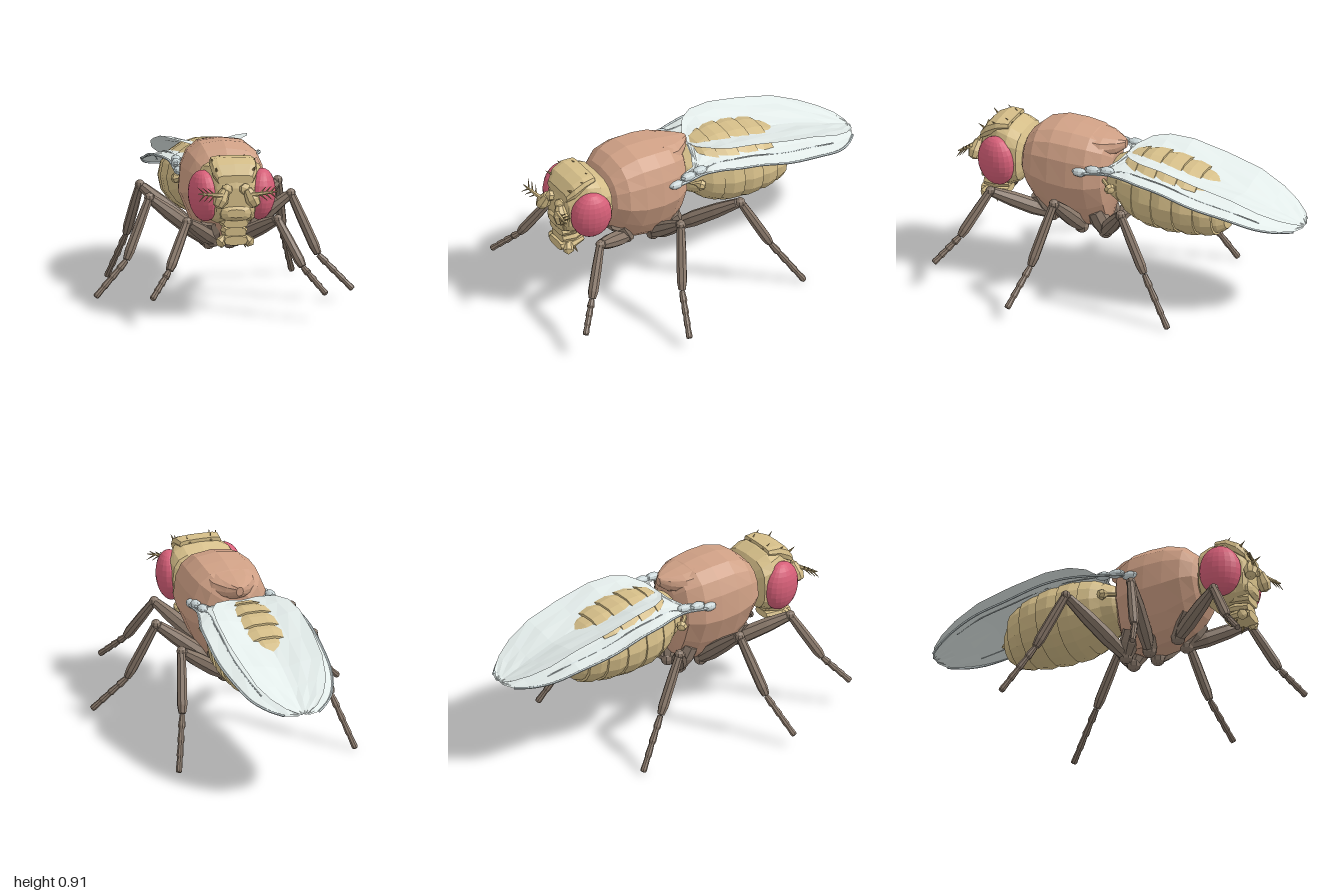
import * as THREE from 'three';

const mat = (color, side = THREE.FrontSide) =>
  new THREE.MeshStandardMaterial({ color, side, flatShading: true });
const M = {
  thorax: mat(0xcfa085), tan: mat(0xd4bd88), tanDark: mat(0xa8905f), eye: mat(0xd65f78),
  leg: mat(0x8a796b), vein: mat(0xccd8da, THREE.DoubleSide), wing: mat(0xe2ebe9, THREE.DoubleSide),
};
const V = (x, y, z) => new THREE.Vector3(x, y, z);

function add(parent, name, geo, material, pos) {
  const m = new THREE.Mesh(geo, material);
  m.name = name;
  if (pos) m.position.copy(pos);
  parent.add(m);
  return m;
}

function surface(pos, idx) {
  const g = new THREE.BufferGeometry();
  g.setAttribute('position', new THREE.Float32BufferAttribute(pos, 3));
  g.setIndex(idx);
  g.computeVertexNormals();
  return g;
}

// Closed body through cross-sections [z, halfWidth, bottom, top], ordered back to front.
// power squares the section off, taper narrows its underside, rough facets it.
function loft(sections, { sides = 16, power = 2, taper = 0, rough = 0 } = {}) {
  const pos = [], idx = [], n = sections.length;
  const pw = (v) => Math.sign(v) * Math.abs(v) ** (2 / power);
  sections.forEach(([z, w, b, t], i) => {
    for (let j = 0; j < sides; j++) {
      const a = (j / sides) * Math.PI * 2, s = pw(Math.sin(a)), c = pw(Math.cos(a));
      const mirrorJ = Math.abs(((j + sides / 4) % sides) - sides / 2); // same on both sides
      const k = 1 + rough * Math.sin(i * 12.9 + mirrorJ * 7.3);
      pos.push(c * w * k * (1 - taper * Math.max(0, -s)), (b + t) / 2 + (s * (t - b) * k) / 2, z);
    }
  });
  for (let i = 0; i < n - 1; i++) for (let j = 0; j < sides; j++) {
    const a = i * sides + j, b = i * sides + ((j + 1) % sides);
    idx.push(a, b, b + sides, a, b + sides, a + sides);
  }
  [0, n - 1].forEach((i) => {
    const [z, , b, t] = sections[i], centre = pos.length / 3;
    pos.push(0, (b + t) / 2, z);
    for (let j = 0; j < sides; j++) {
      const p = i * sides + j, q = i * sides + ((j + 1) % sides);
      if (i) idx.push(centre, p, q); else idx.push(centre, q, p);
    }
  });
  return surface(pos, idx);
}

// Turned limb from a to b; profile is [fraction of length, radius].
function limb(parent, name, a, b, profile, material, sides = 8) {
  const d = b.clone().sub(a), len = d.length();
  const pts = [[0, 0], ...profile, [1, 0]].map(([t, r]) => new THREE.Vector2(r, t * len));
  const m = add(parent, name, new THREE.LatheGeometry(pts, sides), material, a);
  m.quaternion.setFromUnitVectors(V(0, 1, 0), d.normalize());
  return m;
}

function blob(parent, name, pos, size, material, ws = 8, hs = 6) {
  const m = add(parent, name, new THREE.SphereGeometry(1, ws, hs), material, pos);
  m.scale.copy(size);
  return m;
}

const bristle = (parent, a, b, r = 0.006) => limb(parent, 'bristle', a, b, [[0, r], [0.98, 0.001]], M.tanDark, 5);

function makeBody(root) {
  add(root, 'thorax', loft([
    [0.1, 0.09, 0.5, 0.8], [0.14, 0.17, 0.38, 0.86], [0.22, 0.22, 0.34, 0.895], [0.32, 0.235, 0.33, 0.91],
    [0.43, 0.235, 0.35, 0.915], [0.53, 0.22, 0.42, 0.89], [0.59, 0.18, 0.5, 0.84], [0.63, 0.1, 0.58, 0.76],
  ], { power: 2.8, taper: 0.45, rough: 0.02 }), M.thorax);
  add(root, 'scutellum', loft([
    [0.05, 0.02, 0.81, 0.86], [0.09, 0.07, 0.78, 0.87], [0.16, 0.13, 0.76, 0.885], [0.24, 0.15, 0.76, 0.9],
  ], { sides: 12, power: 2.4 }), M.thorax);

  // Overlapping abdomen rings: each plate flares a little over the one behind it
  const rings = [
    [0.15, 0.09, 0.57, 0.72], [0.05, 0.175, 0.5, 0.78], [-0.06, 0.23, 0.42, 0.82], [-0.18, 0.245, 0.395, 0.816],
    [-0.3, 0.24, 0.39, 0.79], [-0.41, 0.21, 0.39, 0.757], [-0.5, 0.16, 0.4, 0.7], [-0.55, 0.085, 0.44, 0.6],
  ];
  const abdomen = new THREE.Group();
  abdomen.name = 'abdomen';
  root.add(abdomen);
  for (let i = 0; i < rings.length - 1; i++) {
    const [z0, w0, b0, t0] = rings[i], [z1, w1, b1, t1] = rings[i + 1];
    add(abdomen, 'abdomenRing', loft([
      [z1 - 0.008, w1 + 0.003, b1 - 0.002, t1 + 0.002],
      [(z0 + z1) / 2, (w0 + w1) / 2 + 0.008, (b0 + b1) / 2 - 0.008, (t0 + t1) / 2 + 0.006],
      [z0, w0 - 0.008, b0 + 0.008, t0 - 0.008],
    ], { sides: 18, power: 2.1, rough: 0.008 }), M.tan);
  }
  limb(abdomen, 'abdomenTip', V(0, 0.535, -0.52), V(0, 0.535, -0.61), [[0, 0.055], [0.55, 0.035]], M.tan, 7);
}

function makeHead(root) {
  const head = new THREE.Group();
  head.name = 'head';
  root.add(head);
  add(head, 'skull', loft([
    [0.59, 0.1, 0.6, 0.77], [0.63, 0.185, 0.55, 0.84], [0.69, 0.195, 0.52, 0.87], [0.76, 0.165, 0.52, 0.88],
    [0.82, 0.125, 0.53, 0.855], [0.86, 0.11, 0.55, 0.8], [0.88, 0.08, 0.57, 0.74],
  ], { power: 3, rough: 0.01 }), M.tan);
  add(head, 'browPlate', loft([[0.7, 0.12, 0.84, 0.89], [0.77, 0.13, 0.82, 0.892], [0.83, 0.125, 0.78, 0.865],
    [0.87, 0.1, 0.76, 0.81]], { sides: 12, power: 4 }), M.tan);
  add(head, 'facePlate', loft([[0.82, 0.1, 0.54, 0.66], [0.88, 0.085, 0.56, 0.64], [0.895, 0.05, 0.58, 0.625]],
    { sides: 12, power: 3 }), M.tan);
  // Mouthparts: stacked plates below the face
  [[0.545, 0.085, 0.085, 0.8], [0.495, 0.075, 0.075, 0.8], [0.45, 0.08, 0.08, 0.81]].forEach(([y, rx, rz, z]) =>
    add(head, 'mouthPlate', loft([[z - rz, rx * 0.7, y - 0.02, y + 0.02], [z, rx, y - 0.032, y + 0.03],
      [z + rz * 0.9, rx * 0.8, y - 0.026, y + 0.024]], { sides: 10, power: 3 }), M.tan));
  [1, -1].forEach((s) => {
    const eye = blob(head, 'eye', V(s * 0.157, 0.68, 0.75), V(0.08, 0.142, 0.115), M.eye, 20, 14);
    eye.rotation.set(0, s * -0.28, s * -0.08);
    limb(head, 'mouthLobe', V(s * 0.05, 0.46, 0.83), V(s * 0.1, 0.42, 0.86), [[0.1, 0.025], [0.7, 0.03]], M.tan, 7);
    bristle(head, V(s * 0.05, 0.43, 0.8), V(s * 0.07, 0.39, 0.78), 0.012);
    // Antenna with a feathery bristle
    limb(head, 'antennaBase', V(s * 0.035, 0.73, 0.85), V(s * 0.06, 0.74, 0.91), [[0, 0.025], [0.7, 0.032]], M.tan, 7);
    limb(head, 'antennaLobe', V(s * 0.055, 0.745, 0.89), V(s * 0.11, 0.64, 0.91), [[0.1, 0.025], [0.6, 0.042], [0.92, 0.03]], M.tan);
    const base = V(s * 0.08, 0.71, 0.92), tip = V(s * 0.22, 0.73, 0.95);
    limb(head, 'arista', base, tip, [[0, 0.014], [0.5, 0.009], [0.99, 0.003]], M.tan, 6);
    [0.3, 0.5, 0.7].forEach((t) => [-1, 1].forEach((u) => {
      const p = base.clone().lerp(tip, t);
      bristle(head, p, p.clone().add(V(s * 0.04, u * 0.035, -u * 0.022)));
    }));
    // Crown bristles
    [[0.1, 0.84, 0.84], [0.11, 0.87, 0.76], [0.06, 0.88, 0.7]].forEach(([x, y, z]) =>
      bristle(head, V(s * x, y - 0.01, z), V(s * (x + 0.01), y + 0.02, z + 0.035), 0.009));
  });
}

// Joint positions from hip to foot for the left legs
const LEGS = {
  frontLeg: [[0.09, 0.5, 0.53], [0.06, 0.375, 0.46], [0.25, 0.535, 0.75], [0.37, 0.29, 0.88], [0.48, 0.16, 0.99]],
  middleLeg: [[0.09, 0.46, 0.32], [0.058, 0.33, 0.29], [0.39, 0.59, 0.32], [0.53, 0.26, 0.4], [0.71, 0.075, 0.465]],
  hindLeg: [[0.09, 0.45, 0.2], [0.055, 0.32, 0.15], [0.38, 0.585, -0.07], [0.43, 0.28, -0.23], [0.51, 0.015, -0.4]],
};
function makeLeg(root, name, joints, s) {
  const leg = new THREE.Group();
  leg.name = name;
  root.add(leg);
  const [hip, low, knee, ankle, foot] = joints.map(([x, y, z]) => V(s * x, y, z));
  limb(leg, 'coxa', hip, low, [[0, 0.05], [0.5, 0.055], [0.95, 0.04]], M.leg);
  blob(leg, 'trochanter', low, V(0.042, 0.042, 0.042), M.leg);
  limb(leg, 'femur', low, knee, [[0, 0.032], [0.3, 0.045], [0.65, 0.041], [0.96, 0.028]], M.leg);
  blob(leg, 'knee', knee, V(0.028, 0.028, 0.028), M.leg);
  limb(leg, 'tibia', knee, ankle, [[0, 0.023], [0.4, 0.028], [0.85, 0.029], [0.98, 0.021]], M.leg);
  const steps = [];
  for (let i = 0; i < 4; i++) steps.push([i / 4, 0.015], [i / 4 + 0.2, 0.021 - i * 0.001]);
  limb(leg, 'tarsus', ankle, foot, [...steps, [0.99, 0.015]], M.leg);
}

// Wing rows: [z, inner x, outer x, height at the midline]. The inner half crosses over
// the midline, so the two wings overlap and each slopes down towards its outer edge.
const WING = [
  [0.27, 0.18, 0.22, 0.753], [0.2, 0.18, 0.235, 0.768], [0.1, 0.16, 0.237, 0.784], [0.06, 0.08, 0.24, 0.788],
  [0.02, -0.08, 0.25, 0.791], [-0.04, -0.17, 0.265, 0.793], [-0.12, -0.22, 0.288, 0.79], [-0.25, -0.24, 0.3, 0.772],
  [-0.45, -0.245, 0.302, 0.715], [-0.65, -0.23, 0.28, 0.665], [-0.8, -0.2, 0.235, 0.607], [-0.9, -0.15, 0.17, 0.567],
  [-0.97, -0.09, 0.1, 0.54], [-1, -0.03, 0.03, 0.53],
];
function makeWing(root, s) {
  const wing = new THREE.Group();
  wing.name = s > 0 ? 'leftWing' : 'rightWing';
  root.add(wing);
  const at = ([z, a, b, y], t, lift = 0) => {
    const x = a + (b - a) * t;
    return V(s * x, y - 0.19 * x + lift, z);
  };
  const cols = 8, pos = [], idx = [];
  WING.forEach((row, i) => {
    for (let j = 0; j <= cols; j++) pos.push(...at(row, j / cols, 0.003 * Math.sin(j * 2.6 + i * 1.7)).toArray());
    if (i) for (let j = 0; j < cols; j++) {
      const a = (i - 1) * (cols + 1) + j, b = a + cols + 1;
      if (s > 0) idx.push(a, a + 1, b + 1, a, b + 1, b);
      else idx.push(a, b + 1, a + 1, a, b, b + 1);
    }
  });
  add(wing, 'wingMembrane', surface(pos, idx), M.wing);
  // Veins: leading edge and one inner rib
  [[1, 13, 0.007], [0.85, 11, 0.004]].forEach(([t, n, r]) => {
    const path = new THREE.CatmullRomCurve3(WING.slice(0, n).map((row) => at(row, t)));
    add(wing, 'wingVein', new THREE.TubeGeometry(path, 30, r, 5), M.vein);
  });
  // Hinge plates where the wing meets the thorax
  [[0.215, 0.72, 0.24, 0.045], [0.215, 0.745, 0.16, 0.05], [0.205, 0.75, 0.08, 0.045]].forEach(([x, y, z, l]) =>
    blob(wing, 'wingHinge', V(s * x, y, z), V(0.028, 0.024, l), M.vein));
  // Balancer behind the wing
  limb(root, 'balancer', V(s * 0.14, 0.66, 0.13), V(s * 0.22, 0.64, 0.05), [[0, 0.012], [0.5, 0.012], [0.75, 0.032], [0.95, 0.022]], M.tan, 7);
}

export function createModel() {
  const root = new THREE.Group();
  root.name = 'fly';
  makeBody(root);
  makeHead(root);
  [1, -1].forEach((s) => {
    for (const [name, joints] of Object.entries(LEGS)) makeLeg(root, name, joints, s);
    makeWing(root, s);
  });
  return root;
}
